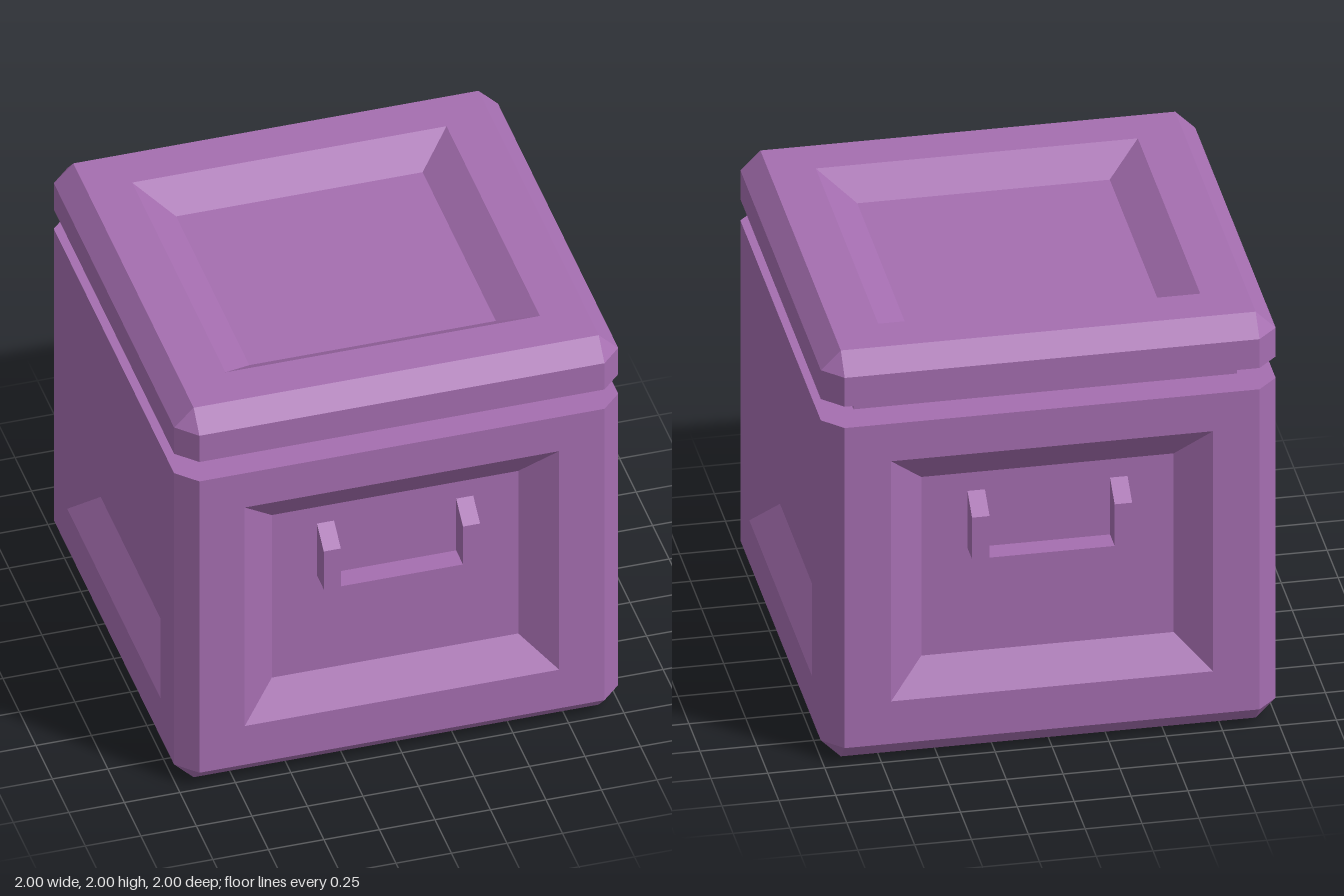
import * as THREE from 'three';

const C = 0.912, B = 0.088, D = 0.105; // bevelled half width, bevel size, recess depth
const material = new THREE.MeshStandardMaterial({ color: 0xa56eb0, flatShading: true });

// Flat-shaded geometry from convex polygons (arrays of [x, y, z])
function fromPolygons(polygons) {
  const positions = [];
  for (const p of polygons)
    for (let i = 1; i < p.length - 1; i++) positions.push(...p[0], ...p[i], ...p[i + 1]);
  const geometry = new THREE.BufferGeometry();
  geometry.setAttribute('position', new THREE.Float32BufferAttribute(positions, 3));
  geometry.computeVertexNormals();
  return geometry;
}

// Rectangle in the xy plane, counter-clockwise
const rect = (w, y0, y1, z) => [[-w, y0, z], [w, y0, z], [w, y1, z], [-w, y1, z]];

// Face with a sunken centre: nested rectangles bridged by quads, the last one capped
function recessedPanel(loops) {
  const out = [loops[loops.length - 1]];
  for (let l = 0; l < loops.length - 1; l++)
    for (let i = 0; i < 4; i++) {
      const j = (i + 1) % 4;
      out.push([loops[l][i], loops[l][j], loops[l + 1][j], loops[l + 1][i]]);
    }
  return out;
}

// Quarter turns about the vertical axis
function turn([x, y, z], k) {
  for (let i = 0; i < k; i++) [x, z] = [z, -x];
  return [x, y, z];
}

// Four sides standing on a bevelled base at y = 0, open end closed at the given height
function bevelledSides(height, panel) {
  const pieces = [
    ...panel,
    [[C, B, 1], [1, B, C], [1, height, C], [C, height, 1]],
    [[-C, 0, C], [C, 0, C], [C, B, 1], [-C, B, 1]],
    [[C, 0, C], [1, B, C], [C, B, 1]],
  ];
  const out = [], rim = [];
  for (let k = 0; k < 4; k++) {
    for (const p of pieces) out.push(p.map((v) => turn(v, k)));
    rim.push(turn([-C, height, 1], k), turn([C, height, 1], k));
  }
  out.push(rim);
  return out;
}

function addMesh(parent, name, geometry) {
  const mesh = new THREE.Mesh(geometry, material);
  mesh.name = name;
  parent.add(mesh);
  return mesh;
}

// U-shaped pull whose arm tops slope down towards the front
function handleGeometry() {
  const s = new THREE.Shape();
  [[-0.352, 1.24], [-0.352, 0.96], [-0.275, 0.87], [0.275, 0.87], [0.352, 0.96], [0.352, 1.24],
    [0.275, 1.24], [0.275, 0.96], [-0.275, 0.96], [-0.275, 1.24]]
    .forEach(([x, y], i) => (i ? s.lineTo(x, y) : s.moveTo(x, y)));
  const geometry = new THREE.ExtrudeGeometry(s, { depth: D, bevelEnabled: false });
  geometry.translate(0, 0, 1 - D);
  const pos = geometry.attributes.position;
  for (let i = 0; i < pos.count; i++)
    if (pos.getY(i) > 1.2 && pos.getZ(i) > 1 - D / 2) pos.setY(i, 1.165);
  geometry.computeVertexNormals();
  return geometry;
}

export function createModel() {
  const group = new THREE.Group();
  group.name = 'chest';

  // Body with a recessed panel on each side and a flat bottom
  const bodyTop = 1.665;
  const sidePanel = recessedPanel([
    rect(C, B, bodyTop, 1), rect(0.708, 0.297, 1.48, 1), rect(0.555, 0.45, 1.33, 1 - D),
  ]);
  const bottom = [[-C, 0, -C], [C, 0, -C], [C, 0, C], [-C, 0, C]];
  addMesh(group, 'body', fromPolygons([...bevelledSides(bodyTop, sidePanel), bottom]));

  // Narrow neck between body and lid
  const neck = addMesh(group, 'neck', new THREE.BoxGeometry(1.685, 0.145, 1.685));
  neck.position.y = 1.7175;

  // Lid: the same bevelled sides turned upside down, with a recessed top
  const lidHeight = 0.23;
  const lidSides = bevelledSides(lidHeight, [rect(C, B, lidHeight, 1)])
    .map((p) => p.map(([x, y, z]) => [x, 2 - y, z]).reverse());
  const lidTop = recessedPanel([
    rect(C, -C, C, 2), rect(0.708, -0.708, 0.708, 2), rect(0.555, -0.555, 0.555, 2 - D),
  ]).map((p) => p.map(([x, y, z]) => [x, z, -y]));
  addMesh(group, 'lid', fromPolygons([...lidSides, ...lidTop]));

  // Handles on front and back
  const pull = handleGeometry();
  addMesh(group, 'frontHandle', pull);
  addMesh(group, 'backHandle', pull).rotation.y = Math.PI;

  return group;
}
